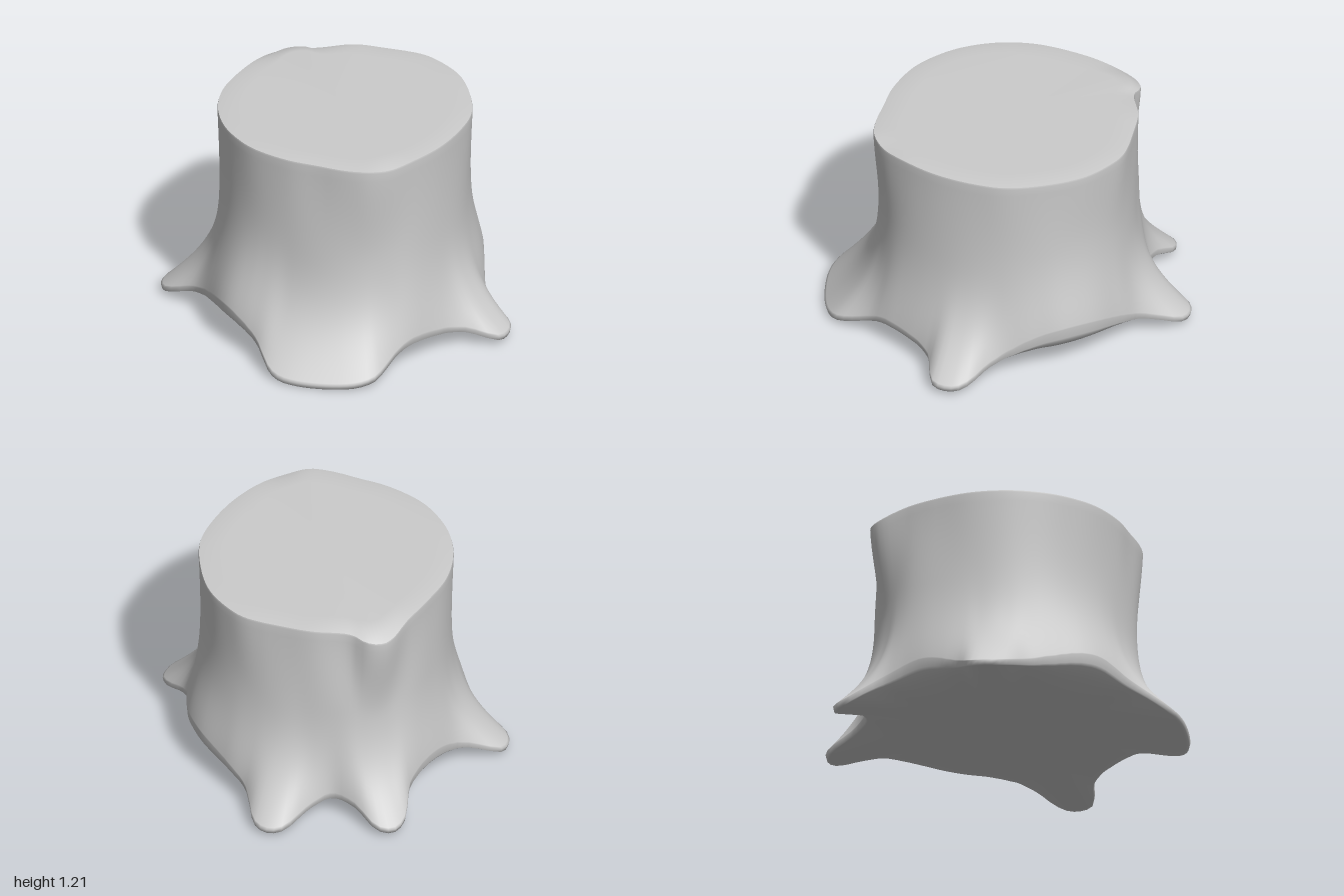
import * as THREE from 'three';

const SEG = 160;
const TOP_Y = 1.21;
const RIM_Y = 1.2;
const FLOOR_Y = 0.08;

// Ground outline with the spreading roots: x, z, height of the lower edge
const rootOutline = [
  [0, -1, 0.04], [0.08, -0.97, 0.05], [0.2, -0.78, 0.13], [0.34, -0.69, 0.2], [0.53, -0.57, 0.27],
  [0.64, -0.44, 0.28], [0.7, -0.29, 0.24], [0.78, -0.09, 0.13], [0.96, 0.07, 0.05], [0.97, 0.16, 0.04],
  [0.94, 0.23, 0.05], [0.75, 0.3, 0.11], [0.56, 0.57, 0.15], [0.5, 0.67, 0.11], [0.47, 0.77, 0.07],
  [0.43, 0.87, 0.04], [0.32, 0.94, 0.02], [0.02, 0.99, 0.02], [-0.11, 0.96, 0.04], [-0.27, 0.78, 0.15],
  [-0.48, 0.63, 0.23], [-0.74, 0.32, 0.13], [-0.94, 0.23, 0.05], [-0.98, 0.16, 0.04], [-0.97, 0.08, 0.05],
  [-0.8, -0.05, 0.14], [-0.71, -0.27, 0.22], [-0.65, -0.49, 0.17], [-0.68, -0.69, 0.06], [-0.65, -0.77, 0.04],
  [-0.57, -0.8, 0.05], [-0.39, -0.725, 0.13], [-0.27, -0.71, 0.14], [-0.17, -0.81, 0.1], [-0.08, -0.97, 0.05],
];

// Outline of the sawn top: x, z, height of the rim where it sags
const topOutline = [
  [0, -0.69], [0.24, -0.68], [0.35, -0.63], [0.49, -0.52], [0.6, -0.35], [0.68, -0.13], [0.68, 0.05],
  [0.63, 0.28], [0.54, 0.47], [0.44, 0.6, 1.19], [0.34, 0.67], [0.23, 0.69], [0.05, 0.68], [-0.12, 0.665],
  [-0.33, 0.595], [-0.46, 0.5], [-0.565, 0.38], [-0.65, 0.2], [-0.68, 0], [-0.65, -0.21], [-0.6, -0.4, 1.19],
  [-0.54, -0.58, 1.15], [-0.45, -0.63, 1.16], [-0.35, -0.615, 1.18], [-0.15, -0.68],
];

// Resample a closed outline at even angles, giving radius and height
function polarOutline(points) {
  const curve = new THREE.CatmullRomCurve3(
    points.map(([x, z, y = RIM_Y]) => new THREE.Vector3(x, y, z)), true, 'centripetal');
  const samples = curve.getPoints(1200).map((p) => ({
    a: (Math.atan2(p.x, -p.z) + 2 * Math.PI) % (2 * Math.PI), r: Math.hypot(p.x, p.z), y: p.y,
  }));
  const gap = (s, a) => {
    const d = Math.abs(s.a - a);
    return Math.min(d, 2 * Math.PI - d);
  };
  return Array.from({ length: SEG }, (_, i) => {
    const a = (i / SEG) * 2 * Math.PI;
    return samples.reduce((best, s) => (gap(s, a) < gap(best, a) ? s : best));
  });
}

// Average the radius over neighbouring angles
function smoothRadius(outline, reach) {
  return outline.map((_, i) => {
    let sum = 0;
    for (let k = -reach; k <= reach; k++) sum += outline[(i + k + SEG) % SEG].r;
    return sum / (2 * reach + 1);
  });
}

// Skin closed rings; each ring is a function i -> [radius, height]
function skin(rings) {
  const position = [];
  const index = [];
  rings.forEach((ring, j) => {
    for (let i = 0; i < SEG; i++) {
      const a = (i / SEG) * 2 * Math.PI;
      const [r, y] = ring(i);
      position.push(r * Math.sin(a), y, -r * Math.cos(a));
      if (j === rings.length - 1) continue;
      const n = (i + 1) % SEG;
      const p = j * SEG;
      index.push(p + i, p + SEG + i, p + n, p + n, p + SEG + i, p + SEG + n);
    }
  });
  const geometry = new THREE.BufferGeometry();
  geometry.setAttribute('position', new THREE.Float32BufferAttribute(position, 3));
  geometry.setIndex(index);
  geometry.computeVertexNormals();
  return geometry;
}

export function createModel() {
  const { lerp, smoothstep } = THREE.MathUtils;
  const group = new THREE.Group();
  group.name = 'treeStump';
  const material = new THREE.MeshStandardMaterial({ color: 0xcccccc });
  const base = polarOutline(rootOutline);
  const top = polarOutline(topOutline);
  const middle = smoothRadius(top, 11);
  // 0 on the roots, 1 in the hollows between them
  const hollow = base.map((b) => smoothstep(b.y, 0.05, 0.2));
  const rings = [];

  // Underside: straight ramps down to the root tips, a round roll up into the hollows
  for (const s of [0, 0.3, 0.55, 0.64, 0.72, 0.8, 0.86, 0.91, 0.95, 0.98, 0.993]) {
    const u = Math.max(0, (s - 0.6) / 0.4);
    const roll = 1 - Math.sqrt(1 - u * u);
    rings.push((i) => [base[i].r * s, FLOOR_Y + (base[i].y - 0.015 - FLOOR_Y) * lerp(u, roll, hollow[i])]);
  }

  // Bark: root flare fading into a rounder trunk, which takes the rim's outline near the top
  for (let k = 0; k <= 30; k++) {
    const t = Math.pow(k / 30, 1.4);
    rings.push((i) => {
      const round = lerp(middle[i], top[i].r, smoothstep(t, 0.5, 1));
      const trunk = round * (1 - 0.02 * Math.sin(Math.PI * t));
      const flare = Math.exp(-lerp(4.2, 2.2, hollow[i]) * t - 7 * t * t);
      const y0 = base[i].y + 0.01;
      return [trunk + (base[i].r - trunk) * flare, y0 + (top[i].y - 0.01 - y0) * t];
    });
  }

  // Softened rim
  rings.push((i) => [top[i].r * 0.996, top[i].y]);
  const trunk = new THREE.Mesh(skin(rings), material);
  trunk.name = 'trunkAndRoots';
  group.add(trunk);

  // Sawn face, level inside and dropping slightly to the rim
  const cut = new THREE.Mesh(skin([
    (i) => [top[i].r * 0.996, top[i].y],
    (i) => [top[i].r * 0.93, TOP_Y - (TOP_Y - top[i].y) * 0.35],
    (i) => [top[i].r * 0.82, TOP_Y],
    () => [0, TOP_Y],
  ]), material);
  cut.name = 'sawnTop';
  group.add(cut);

  return group;
}
